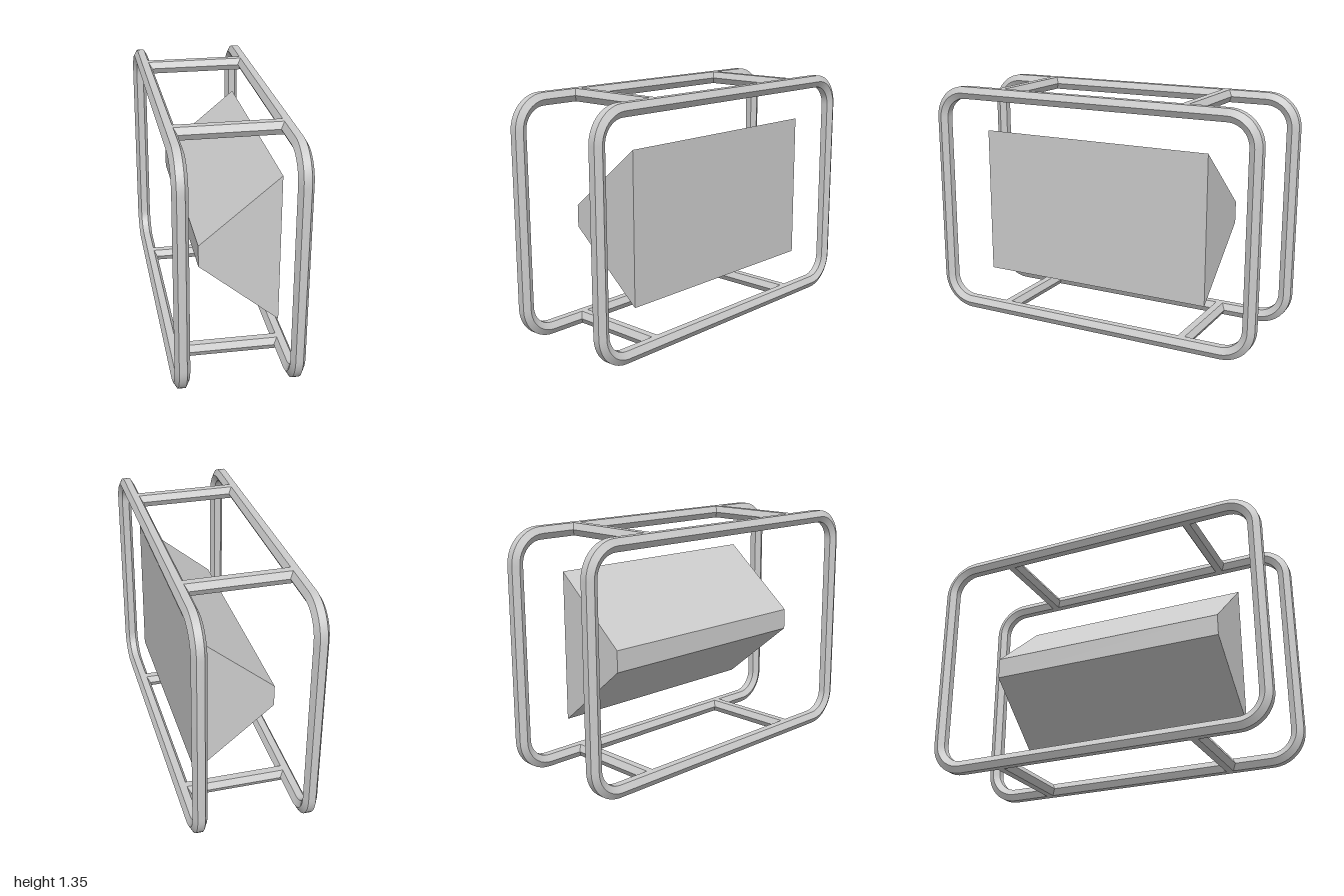
import * as THREE from 'three';
import { toCreasedNormals } from 'three/addons/utils/BufferGeometryUtils.js';

const HEIGHT = 1.352, HALF_Z = 1, RAIL_X = 0.302;
const TUBE = 0.0405;                       // hexagon corner radius
const FLAT = TUBE * Math.sqrt(3) / 2;      // hexagon half thickness
const BEND = 0.155, STEPS = 10, SIDES = 6;

const material = new THREE.MeshStandardMaterial({ color: 0xcccccc });

function addMesh(parent, name, geometry) {
  const mesh = new THREE.Mesh(geometry, material);
  mesh.name = name;
  parent.add(mesh);
  return mesh;
}

// Hexagonal tube swept round a rounded rectangle in the zy plane
function hoopGeometry() {
  const positions = [], index = [];
  const cz = HALF_Z - FLAT - BEND, cy = HEIGHT / 2 - FLAT - BEND;
  const corners = [[1, 1], [-1, 1], [-1, -1], [1, -1]];
  corners.forEach(([sz, sy], c) => {
    for (let i = 0; i <= STEPS; i++) {
      const angle = (c + i / STEPS) * Math.PI / 2;
      for (let k = 0; k < SIDES; k++) {
        const a = k / SIDES * Math.PI * 2;
        const radius = BEND + TUBE * Math.sin(a);
        positions.push(
          TUBE * Math.cos(a),
          HEIGHT / 2 + sy * cy + radius * Math.sin(angle),
          sz * cz + radius * Math.cos(angle));
      }
    }
  });
  const rings = positions.length / 3 / SIDES;
  for (let r = 0; r < rings; r++) {
    for (let k = 0; k < SIDES; k++) {
      const next = (r + 1) % rings, k2 = (k + 1) % SIDES;
      const a = r * SIDES + k, b = r * SIDES + k2;
      const c = next * SIDES + k2, d = next * SIDES + k;
      index.push(a, d, b, b, d, c);
    }
  }
  const geometry = new THREE.BufferGeometry();
  geometry.setAttribute('position', new THREE.Float32BufferAttribute(positions, 3));
  geometry.setIndex(index);
  return toCreasedNormals(geometry, 0.5);
}

// Hexagonal bar along x, flat on top and bottom
function barGeometry() {
  const geometry = new THREE.CylinderGeometry(TUBE, TUBE, RAIL_X * 2, SIDES);
  geometry.rotateZ(Math.PI / 2);
  return toCreasedNormals(geometry, 0.5);
}

// Tapered block: wide face towards +x, narrow face towards -x
function wedgeGeometry() {
  const profile = new THREE.Shape([
    new THREE.Vector2(-0.175, 0.617),
    new THREE.Vector2(0.26, 0.256),
    new THREE.Vector2(0.26, 1.098),
    new THREE.Vector2(-0.175, 0.737),
  ]);
  const length = 1.376;
  const geometry = new THREE.ExtrudeGeometry(profile, { depth: length, bevelEnabled: false });
  return geometry.translate(0, 0, -length / 2);
}

export function createModel() {
  const model = new THREE.Group();
  model.name = 'framedWedge';

  // Two side hoops
  const hoop = hoopGeometry();
  addMesh(model, 'leftHoop', hoop).position.x = RAIL_X;
  addMesh(model, 'rightHoop', hoop).position.x = -RAIL_X;

  // Four cross bars joining the hoops
  const bar = barGeometry();
  for (const [level, y] of [['lower', FLAT], ['upper', HEIGHT - FLAT]]) {
    for (const [end, z] of [['Front', 0.567], ['Back', -0.567]]) {
      addMesh(model, `${level}${end}CrossBar`, bar).position.set(0, y, z);
    }
  }

  // Floating block in the middle
  addMesh(model, 'wedgeBlock', wedgeGeometry());
  return model;
}
